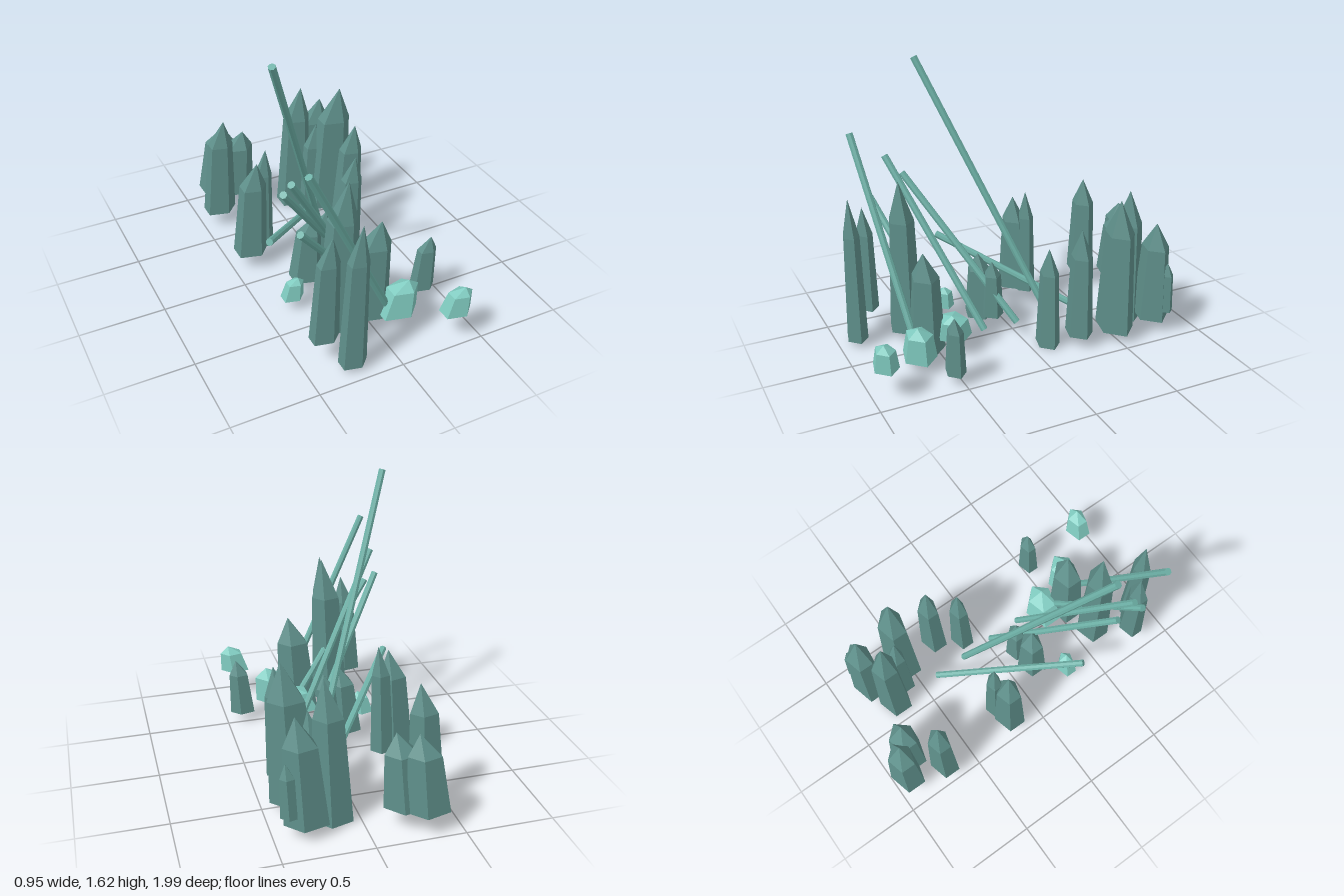
import * as THREE from 'three';

const material = (color) =>
  new THREE.MeshStandardMaterial({ color, flatShading: true });

// Five-sided crystal: wide base, narrower leaning shoulder, pointed tip.
function crystalGeometry(x0, x1, z0, z1, y0, y1) {
  const rx = (x1 - x0) / 1.809, rz = (z1 - z0) / 1.902;
  const cx = x0 + 0.809 * rx, cz = (z0 + z1) / 2;
  const ring = (y, scale, dx, dz) => Array.from({ length: 5 }, (_, i) => {
    const a = (i * Math.PI * 2) / 5;
    return [cx + dx + Math.cos(a) * rx * scale, y, cz + dz + Math.sin(a) * rz * scale];
  });
  const base = ring(y0, 1, 0, 0);
  const shoulder = ring(y0 + (y1 - y0) * 0.74, 0.76, rx * 0.24, rz * 0.08);
  const tip = [cx + rx * 0.45, y1, cz + rz * 0.25];
  const center = [cx, y0, cz];
  const positions = [];
  const face = (...corners) => corners.forEach((p) => positions.push(...p));
  for (let i = 0; i < 5; i++) {
    const j = (i + 1) % 5;
    face(base[i], shoulder[i], base[j]);
    face(base[j], shoulder[i], shoulder[j]);
    face(shoulder[i], tip, shoulder[j]);
    face(center, base[i], base[j]);
  }
  const geometry = new THREE.BufferGeometry();
  geometry.setAttribute('position', new THREE.Float32BufferAttribute(positions, 3));
  geometry.computeVertexNormals();
  return geometry;
}

// Straight rod between two points.
function rod(from, to, radius, mat) {
  const dir = to.clone().sub(from);
  const mesh = new THREE.Mesh(
    new THREE.CylinderGeometry(radius, radius, dir.length(), 8), mat);
  mesh.position.copy(from).add(to).multiplyScalar(0.5);
  mesh.quaternion.setFromUnitVectors(new THREE.Vector3(0, 1, 0), dir.normalize());
  return mesh;
}

export function createModel() {
  const model = new THREE.Group();
  model.name = 'crystalField';
  const addCrystals = (name, mat, list) => {
    const group = new THREE.Group();
    group.name = name;
    list.forEach((c, i) => {
      const mesh = new THREE.Mesh(crystalGeometry(...c), mat);
      mesh.name = `${name}${i + 1}`;
      group.add(mesh);
    });
    model.add(group);
  };

  // Footprint and height of each crystal: x0, x1, z0, z1, y0, y1
  const dark = material(0x5f908b);
  addCrystals('backCrystal', dark, [
    [-0.42, -0.19, -1.0, -0.81, 0.12, 0.57],
    [-0.32, -0.09, -0.93, -0.73, 0.12, 0.55],
    [-0.475, -0.28, -0.76, -0.6, 0.1, 0.74],
    [0.05, 0.26, -0.79, -0.6, 0.01, 0.845],
    [0.205, 0.44, -0.87, -0.68, 0.07, 0.69],
    [0.36, 0.465, -0.85, -0.765, 0.14, 0.455],
    [0.15, 0.3, -0.65, -0.52, 0.0, 0.62],
    [0.2, 0.46, -0.62, -0.42, 0.05, 0.88],
  ]);
  addCrystals('middleCrystal', dark, [
    [0.24, 0.42, -0.35, -0.2, 0.07, 0.74],
    [0.17, 0.335, -0.175, -0.045, 0.0, 0.625],
    [-0.47, -0.27, -0.27, -0.095, 0.1, 0.71],
    [-0.345, -0.215, -0.28, -0.165, 0.1, 0.76],
    [-0.255, -0.07, 0.06, 0.23, 0.06, 0.48],
    [-0.12, 0.02, 0.045, 0.17, 0.1, 0.46],
  ]);
  addCrystals('frontCrystal', dark, [
    [-0.085, 0.155, 0.46, 0.66, 0.03, 0.65],
    [-0.3, -0.085, 0.515, 0.7, 0.06, 1.0],
    [0.33, 0.475, 0.48, 0.59, 0.06, 0.41],
    [-0.44, -0.275, 0.72, 0.84, 0.16, 0.81],
    [-0.32, -0.165, 0.83, 0.95, 0.03, 0.92],
  ]);
  // Short, paler crystals
  addCrystals('shortCrystal', material(0x80cbc0), [
    [-0.39, -0.26, 0.25, 0.36, 0.075, 0.21],
    [-0.05, 0.2, 0.31, 0.515, 0.1, 0.25],
    [0.05, 0.285, 0.56, 0.75, 0.06, 0.27],
    [0.29, 0.465, 0.85, 0.99, 0.175, 0.335],
  ]);

  // Fan of slanted rods: top z, top y, bottom z
  const rods = new THREE.Group();
  rods.name = 'slantedRods';
  const rodMaterial = material(0x6db0a6);
  [
    [0.3, 0.5, -0.4],
    [0.4, 1.61, -0.19],
    [0.5, 0.93, 0.02],
    [0.6, 1.05, 0.23],
    [0.7, 0.81, 0.44],
    [0.8, 1.21, 0.65],
  ].forEach(([zTop, yTop, zBottom], i) => {
    const mesh = rod(new THREE.Vector3(0.1, 0.1, zBottom),
      new THREE.Vector3(-0.46, yTop, zTop), 0.021, rodMaterial);
    mesh.name = `rod${i + 1}`;
    rods.add(mesh);
  });
  model.add(rods);
  return model;
}
